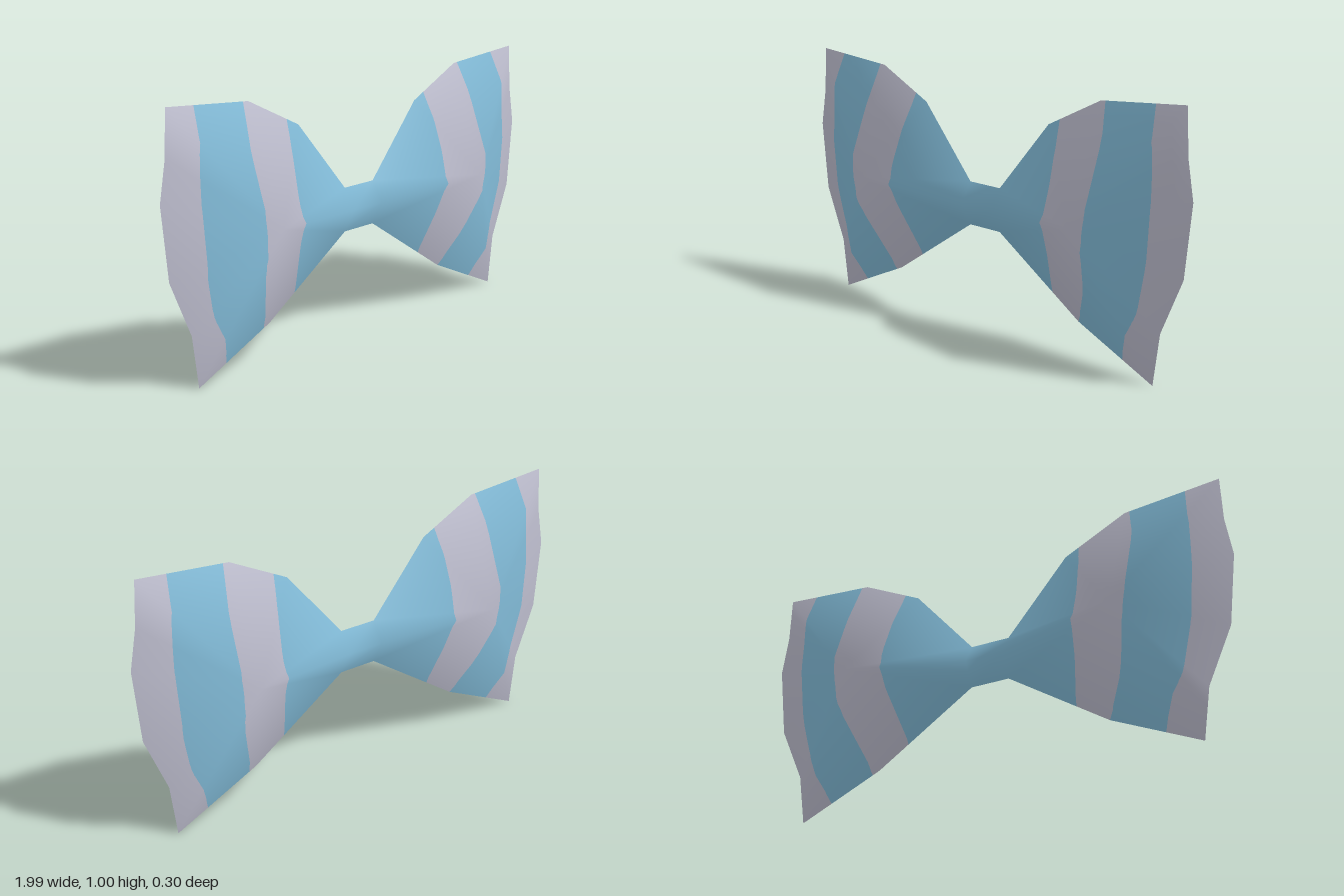
import * as THREE from 'three';

// Half outline of the bow, clockwise from the knot's top corner to its bottom corner
const OUTLINE = [
  [0.08, 0.578], [0.33, 0.853], [0.58, 0.97], [0.96, 1.0], [0.968, 0.83], [0.995, 0.68],
  [0.965, 0.41], [0.87, 0.2], [0.842, 0.005], [0.49, 0.155], [0.08, 0.41],
];
const KNOT_RIDGE = [0.08, 0.5, 0.048];
const APEX = [0.57, 0.54, 0.152];

// Stripe borders for each wing of a sheet, as [y, distance from centre]
const BORDERS = {
  right: [
    [[0.25, 0.36], [0.4, 0.39], [0.55, 0.405], [0.65, 0.41], [0.8, 0.4], [0.86, 0.385]],
    [[0.155, 0.49], [0.3, 0.57], [0.45, 0.61], [0.6, 0.63], [0.85, 0.627], [0.97, 0.6]],
    [[0.07, 0.7], [0.25, 0.79], [0.45, 0.84], [0.65, 0.855], [0.85, 0.85], [0.99, 0.825]],
  ],
  left: [
    [[0.25, 0.36], [0.45, 0.415], [0.6, 0.43], [0.75, 0.413], [0.87, 0.39]],
    [[0.16, 0.52], [0.4, 0.615], [0.6, 0.635], [0.8, 0.63], [0.97, 0.605]],
    [[0.07, 0.71], [0.25, 0.795], [0.4, 0.83], [0.65, 0.855], [0.85, 0.852], [0.99, 0.835]],
  ],
};
const BANDS = ['innerFabric', 'middleStripe', 'outerFabric', 'edgeStripe'];

function borderAt(curve, y) {
  if (y <= curve[0][0]) return curve[0][1];
  for (let i = 1; i < curve.length; i++) {
    const [y0, x0] = curve[i - 1], [y1, x1] = curve[i];
    if (y <= y1) return x0 + (x1 - x0) * (y - y0) / (y1 - y0);
  }
  return curve[curve.length - 1][1];
}

// Coarse front sheet: a fan around each wing's apex, joined by the knot
function coarseSheet() {
  const points = [], index = [];
  const loop = [...OUTLINE.map(([x, y]) => [x, y, 0]), KNOT_RIDGE];
  const count = loop.length;
  for (const side of [1, -1]) {
    const start = points.length / 3;
    for (const [x, y, z] of [...loop, APEX]) points.push(side * x, y, z);
    for (let i = 0; i < count; i++) {
      const a = start + i, b = start + (i + 1) % count, apex = start + count;
      index.push(apex, ...(side > 0 ? [b, a] : [a, b]));
    }
  }
  // knot: upper and lower faces between the two wings
  const top = 0, bottom = count - 2, ridge = count - 1, left = count + 1;
  for (const [up, low] of [[top, ridge], [ridge, bottom]]) {
    index.push(left + low, low, up, left + low, up, left + up);
  }
  const geometry = new THREE.BufferGeometry();
  geometry.setAttribute('position', new THREE.Float32BufferAttribute(points, 3));
  geometry.setIndex(index);
  geometry.computeVertexNormals();
  return geometry;
}

const mix = (a, b, t) => a.map((v, i) => v + (b[i] - v) * t);

// Keep the part of a polygon where the function is positive
function clip(polygon, f) {
  const out = [];
  polygon.forEach((a, i) => {
    const b = polygon[(i + 1) % polygon.length];
    const fa = f(a), fb = f(b);
    if (fa >= 0) out.push(a);
    if ((fa >= 0) !== (fb >= 0)) out.push(mix(a, b, fa / (fa - fb)));
  });
  return out;
}

// Subdivide one triangle of [position, normal] corners
function subdivide([a, b, c], n) {
  const at = (i, j) => a.map((v, k) => v + (b[k] - v) * i / n + (c[k] - v) * j / n);
  const out = [];
  for (let i = 0; i < n; i++) {
    for (let j = 0; j < n - i; j++) {
      out.push([at(i, j), at(i + 1, j), at(i, j + 1)]);
      if (i + j < n - 1) out.push([at(i + 1, j), at(i + 1, j + 1), at(i, j + 1)]);
    }
  }
  return out;
}

// Cut the sheet along the stripe borders, one geometry for each band
function stripedSheet() {
  const coarse = coarseSheet();
  const { position, normal } = coarse.attributes;
  const corner = (i) => [
    position.getX(i), position.getY(i), position.getZ(i),
    normal.getX(i), normal.getY(i), normal.getZ(i),
  ];
  const bands = BANDS.map(() => ({ positions: [], normals: [] }));
  const add = (band, polygon) => {
    for (let i = 1; i + 1 < polygon.length; i++) {
      for (const v of [polygon[0], polygon[i], polygon[i + 1]]) {
        bands[band].positions.push(v[0], v[1], v[2]);
        bands[band].normals.push(...new THREE.Vector3(v[3], v[4], v[5]).normalize().toArray());
      }
    }
  };
  const index = coarse.index.array;
  for (let t = 0; t < index.length; t += 3) {
    const triangle = [corner(index[t]), corner(index[t + 1]), corner(index[t + 2])];
    for (const piece of subdivide(triangle, 8)) {
      const middleX = piece[0][0] + piece[1][0] + piece[2][0];
      let rest = piece;
      BORDERS[middleX > 0 ? 'right' : 'left'].forEach((curve, band) => {
        const f = (v) => Math.abs(v[0]) - borderAt(curve, v[1]);
        add(band, clip(rest, (v) => -f(v)));
        rest = clip(rest, f);
      });
      add(BANDS.length - 1, rest);
    }
  }
  return bands.map(({ positions, normals }) => {
    const geometry = new THREE.BufferGeometry();
    geometry.setAttribute('position', new THREE.Float32BufferAttribute(positions, 3));
    geometry.setAttribute('normal', new THREE.Float32BufferAttribute(normals, 3));
    return geometry;
  });
}

export function createModel() {
  const blue = new THREE.MeshStandardMaterial({ color: 0x84bedb });
  blue.name = 'sky blue';
  const grey = new THREE.MeshStandardMaterial({ color: 0xc1c1d2 });
  grey.name = 'pale lilac grey';

  const bow = new THREE.Group();
  bow.name = 'bowTie';
  const geometries = stripedSheet();

  // Front sheet, and the same sheet turned round for the back
  for (const [name, turn] of [['frontSheet', 0], ['backSheet', Math.PI]]) {
    const sheet = new THREE.Group();
    sheet.name = name;
    sheet.rotation.y = turn;
    geometries.forEach((geometry, i) => {
      const mesh = new THREE.Mesh(geometry, i % 2 ? grey : blue);
      mesh.name = BANDS[i];
      sheet.add(mesh);
    });
    bow.add(sheet);
  }
  return bow;
}
